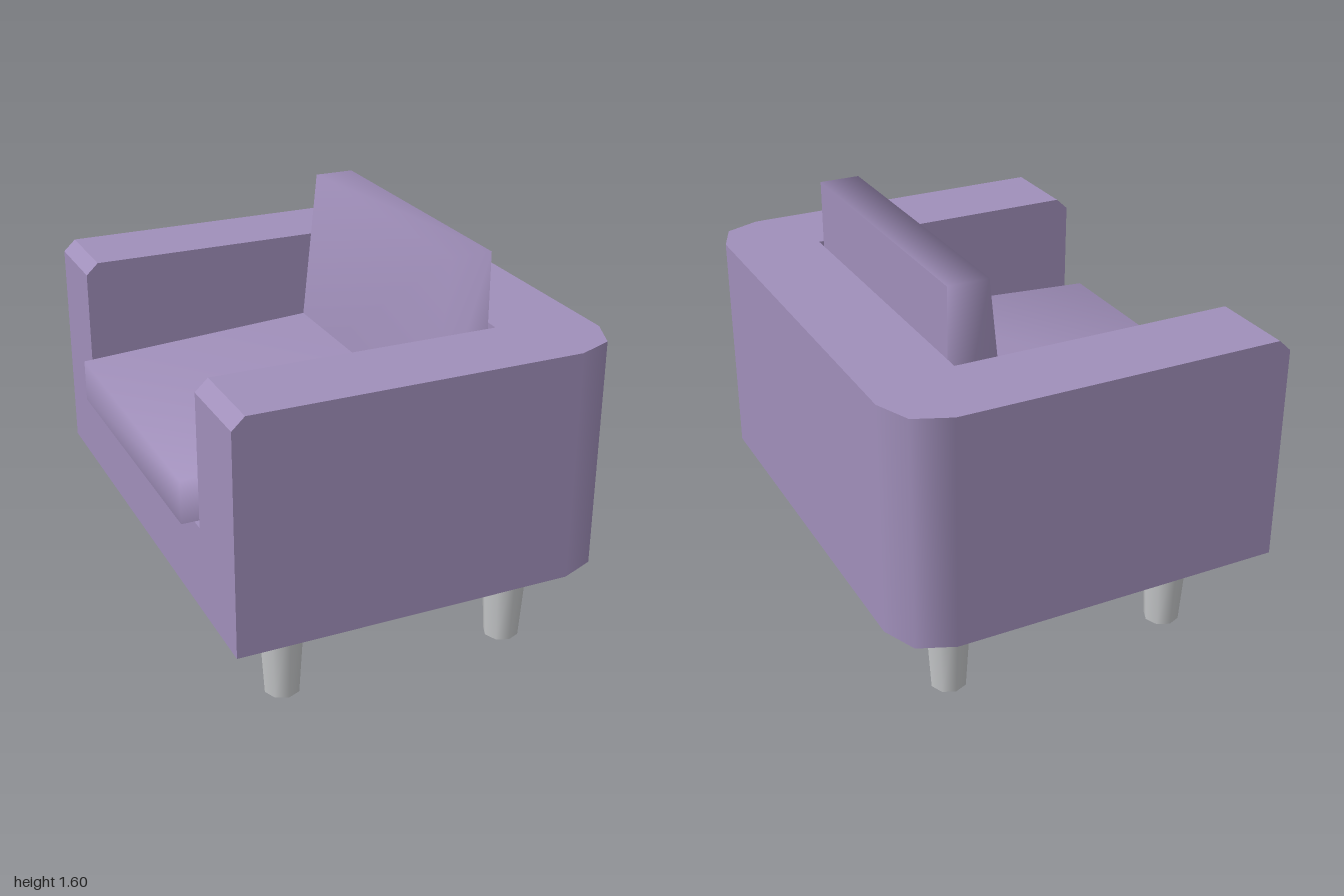
import * as THREE from 'three';

const fabric = new THREE.MeshStandardMaterial({ color: 0xa08fba });
fabric.name = 'purple fabric';
const metal = new THREE.MeshStandardMaterial({ color: 0xc6c8ca });
metal.name = 'grey legs';

const FLOOR = 0.735, BOTTOM = 0.39, TOP = 1.315;

function addMesh(group, name, geometry, material) {
  const mesh = new THREE.Mesh(geometry, material);
  mesh.name = name;
  group.add(mesh);
  return mesh;
}

// Plan outline extruded upwards; the rear corners get rounded normals
function upright(points, y0, y1) {
  const shape = new THREE.Shape(points.map(([x, z]) => new THREE.Vector2(x, z)));
  const geo = new THREE.ExtrudeGeometry(shape, { depth: y1 - y0, bevelEnabled: false });
  geo.rotateX(-Math.PI / 2).translate(0, y0, 0);
  const p = geo.attributes.position, n = geo.attributes.normal;
  for (let i = 0; i < p.count; i++) {
    const dx = p.getX(i) - 0.6, dz = Math.abs(p.getZ(i)) - 0.8;
    const r = Math.hypot(dx, dz);
    if (Math.abs(n.getY(i)) > 0.5 || Math.abs(r - 0.2) > 0.005 || dx < -0.01 || dz < -0.01) continue;
    n.setXYZ(i, dx / r, 0, dz / r * Math.sign(p.getZ(i)));
  }
  return geo;
}

// Four-sided side profile swept across z; edges share normals except the sharp ones
function cushion(profile, halfWidth, sharp) {
  const pos = [], index = [];
  const add = (i, s) => {
    pos.push(profile[i][0], profile[i][1], s * halfWidth);
    return pos.length / 3 - 1;
  };
  const front = profile.map((_, i) => add(i, 1));
  const rear = profile.map((_, i) => add(i, -1));
  const quad = (a, b, c, d) => index.push(a, b, c, a, c, d);
  quad(...front);
  quad(...[...rear].reverse());
  profile.forEach((_, i) => {
    const j = (i + 1) % 4;
    if (sharp.includes(i)) quad(add(i, 1), add(i, -1), add(j, -1), add(j, 1));
    else quad(front[i], rear[i], rear[j], front[j]);
  });
  const geo = new THREE.BufferGeometry();
  geo.setAttribute('position', new THREE.Float32BufferAttribute(pos, 3));
  geo.setIndex(index);
  geo.computeVertexNormals();
  return geo;
}

export function createModel() {
  const chair = new THREE.Group();
  chair.name = 'armchair';

  // Solid base and the arms with the back wall above it
  const rearCorner = [[0.6, -1], [0.7414, -0.9414], [0.8, -0.8], [0.8, 0.8], [0.7414, 0.9414], [0.6, 1]];
  addMesh(chair, 'base', upright([[-0.75, -1], ...rearCorner, [-0.75, 1]], BOTTOM, FLOOR), fabric);
  addMesh(chair, 'armsAndBackWall', upright([
    [-0.7, -1], ...rearCorner, [-0.7, 1],
    [-0.7, 0.655], [0.44, 0.655], [0.44, -0.655], [-0.7, -0.655],
  ], FLOOR, TOP), fabric);

  // Arm fronts with a bevelled top edge
  const nose = new THREE.Shape([
    [-0.75, FLOOR], [-0.7, FLOOR], [-0.7, TOP], [-0.75, 1.268],
  ].map(([x, y]) => new THREE.Vector2(x, y)));
  for (const [name, z] of [['armFrontA', 0.655], ['armFrontB', -1]]) {
    const geo = new THREE.ExtrudeGeometry(nose, { depth: 0.345, bevelEnabled: false });
    addMesh(chair, name, geo.translate(0, 0, z), fabric);
  }

  // Sloping seat cushion and leaning back cushion
  addMesh(chair, 'seatCushion', cushion(
    [[-0.8, FLOOR], [0.21, FLOOR], [0.21, 0.97], [-0.8, 0.91]], 0.6, [0, 1]), fabric);
  addMesh(chair, 'backCushion', cushion(
    [[0.186, FLOOR], [0.44, FLOOR], [0.44, 1.595], [0.275, 1.595]], 0.6, [0, 1]), fabric);

  // Tapered legs
  const legGeo = new THREE.CylinderGeometry(0.096, 0.071, BOTTOM, 8);
  for (const x of [-0.46, 0.505]) {
    for (const z of [-0.71, 0.71]) {
      addMesh(chair, x < 0 ? 'frontLeg' : 'backLeg', legGeo, metal).position.set(x, BOTTOM / 2, z);
    }
  }
  return chair;
}
